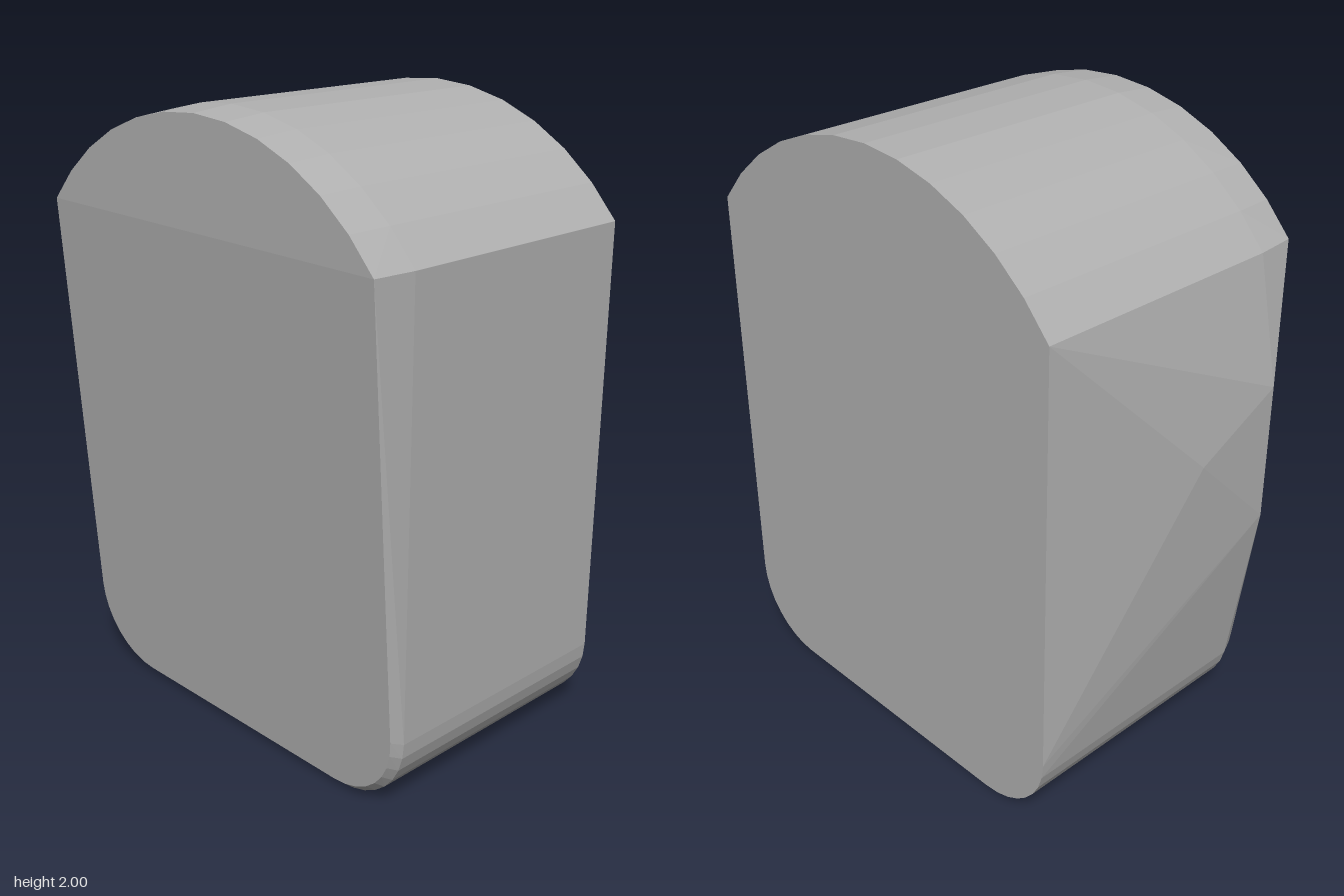
import * as THREE from 'three';
import { ConvexGeometry } from 'three/addons/geometries/ConvexGeometry.js';

const LEFT = -0.67, RIGHT = 0.757, SHOULDER = 1.65, RADIUS = 0.25;
const MID_X = (LEFT + RIGHT) / 2;

// Arched outline with rounded bottom corners, shrunk by an inset
function outline(inset) {
  const points = [];
  const half = (RIGHT - LEFT) / 2, rise = 0.35;
  const arcR = (half * half + rise * rise) / (2 * rise);
  const arcY = SHOULDER + rise - arcR;
  const spread = Math.asin(half / arcR);
  for (let i = 0; i <= 12; i++) {
    const a = spread * (i / 6 - 1);
    points.push([MID_X + arcR * Math.sin(a), arcY + arcR * Math.cos(a)]);
  }
  for (const side of [-1, 1]) {
    for (let i = 0; i <= 8; i++) {
      const a = (i / 8) * Math.PI / 2;
      points.push([
        MID_X + side * (half - RADIUS + RADIUS * Math.cos(a)),
        RADIUS - RADIUS * Math.sin(a),
      ]);
    }
  }
  const sx = 1 - inset / half, sy = 1 - inset;
  return points.map(([x, y]) => [MID_X + (x - MID_X) * sx, y > SHOULDER ? SHOULDER + (y - SHOULDER) * (1 - inset / rise) : SHOULDER + (y - SHOULDER) * sy]);
}

export function createModel() {
  const group = new THREE.Group();
  const grey = new THREE.MeshStandardMaterial({ color: 0xb0b0b0 });
  grey.name = 'grey';

  const points = [];
  // Back face and the start of the front bevel
  for (const z of [-0.5, 0.36]) {
    for (const [x, y] of outline(0)) points.push(new THREE.Vector3(x, y, z));
  }
  // Front face: upright above the shoulder, leaning back below it
  for (const [x, y] of outline(0.013)) {
    points.push(new THREE.Vector3(x, y, 0.385 + 0.113 * Math.min(1, y / SHOULDER)));
  }
  // Bulge on one side
  points.push(
    new THREE.Vector3(-0.757, 1.25, 0.355),
    new THREE.Vector3(-0.757, 0.8, 0.355),
    new THREE.Vector3(-0.757, 1.1, 0.05),
  );

  const block = new THREE.Mesh(new ConvexGeometry(points), grey);
  block.name = 'archedBlock';
  group.add(block);
  return group;
}
